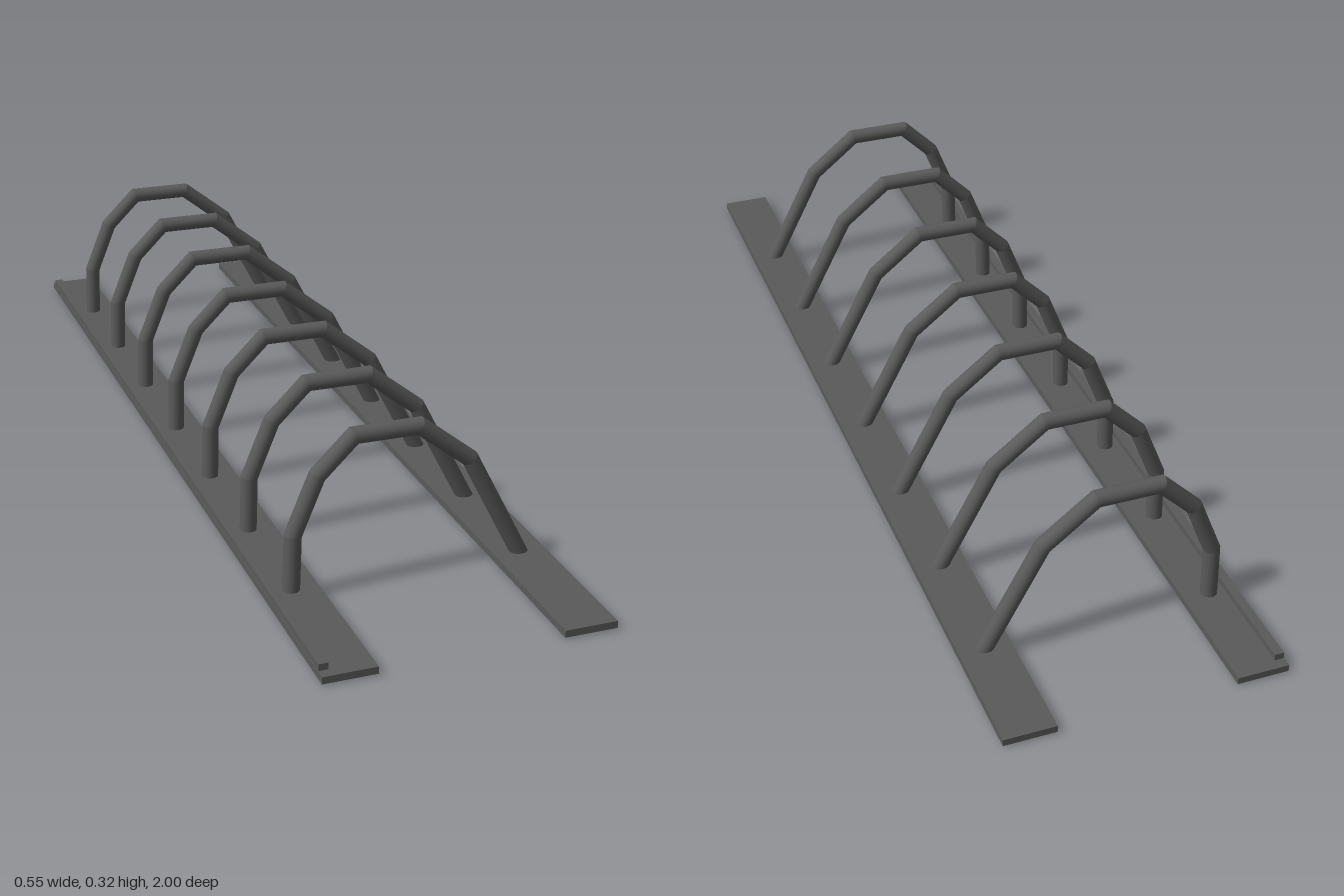
import * as THREE from 'three';
import { mergeGeometries } from 'three/addons/utils/BufferGeometryUtils.js';

const RADIUS = 0.0163;
const HOOP_PATH = [
  [-0.227, 0.004], [-0.224, 0.123], [-0.179, 0.234], [-0.11, 0.302],
  [0.016, 0.302], [0.117, 0.222], [0.23, 0.004],
];

// Bent pipe: one open cylinder per straight run, its ends sheared into mitred joints
function bentPipe(path, radius) {
  const angles = path.slice(1).map(([x, y], i) => Math.atan2(y - path[i][1], x - path[i][0]));
  const mitre = (i) => (i > 0 && i < angles.length ? Math.tan((angles[i] - angles[i - 1]) / 2) : 0);
  const runs = angles.map((angle, i) => {
    const [x0, y0] = path[i];
    const [x1, y1] = path[i + 1];
    const run = new THREE.CylinderGeometry(radius, radius, Math.hypot(x1 - x0, y1 - y0), 20, 1, true);
    const pos = run.attributes.position;
    for (let v = 0; v < pos.count; v++) {
      const x = pos.getX(v);
      const y = pos.getY(v);
      pos.setY(v, y > 0 ? y + x * mitre(i + 1) : y - x * mitre(i));
    }
    return run.rotateZ(angle - Math.PI / 2).translate((x0 + x1) / 2, (y0 + y1) / 2, 0);
  });
  return mergeGeometries(runs);
}

export function createModel() {
  const model = new THREE.Group();
  model.name = 'bikeRack';
  const steel = new THREE.MeshStandardMaterial({ color: 0x5a5a5a });

  const add = (name, geometry, x, y, z) => {
    const mesh = new THREE.Mesh(geometry, steel);
    mesh.name = name;
    mesh.position.set(x, y, z);
    model.add(mesh);
  };

  // Two flat ground rails
  const rail = new THREE.BoxGeometry(0.102, 0.014, 2);
  add('leftRail', rail, 0.225, 0.007, 0);
  add('rightRail', rail, -0.225, 0.007, 0);

  // Thin raised strip along the outer edge of the right rail
  add('edgeStrip', new THREE.BoxGeometry(0.018, 0.014, 1.96), -0.266, 0.02, 0);

  // Seven evenly spaced hoops
  const hoop = bentPipe(HOOP_PATH, RADIUS);
  for (let i = 0; i < 7; i++) add(`hoop${i + 1}`, hoop, 0, 0, 0.708 - i * 0.2465);

  return model;
}
